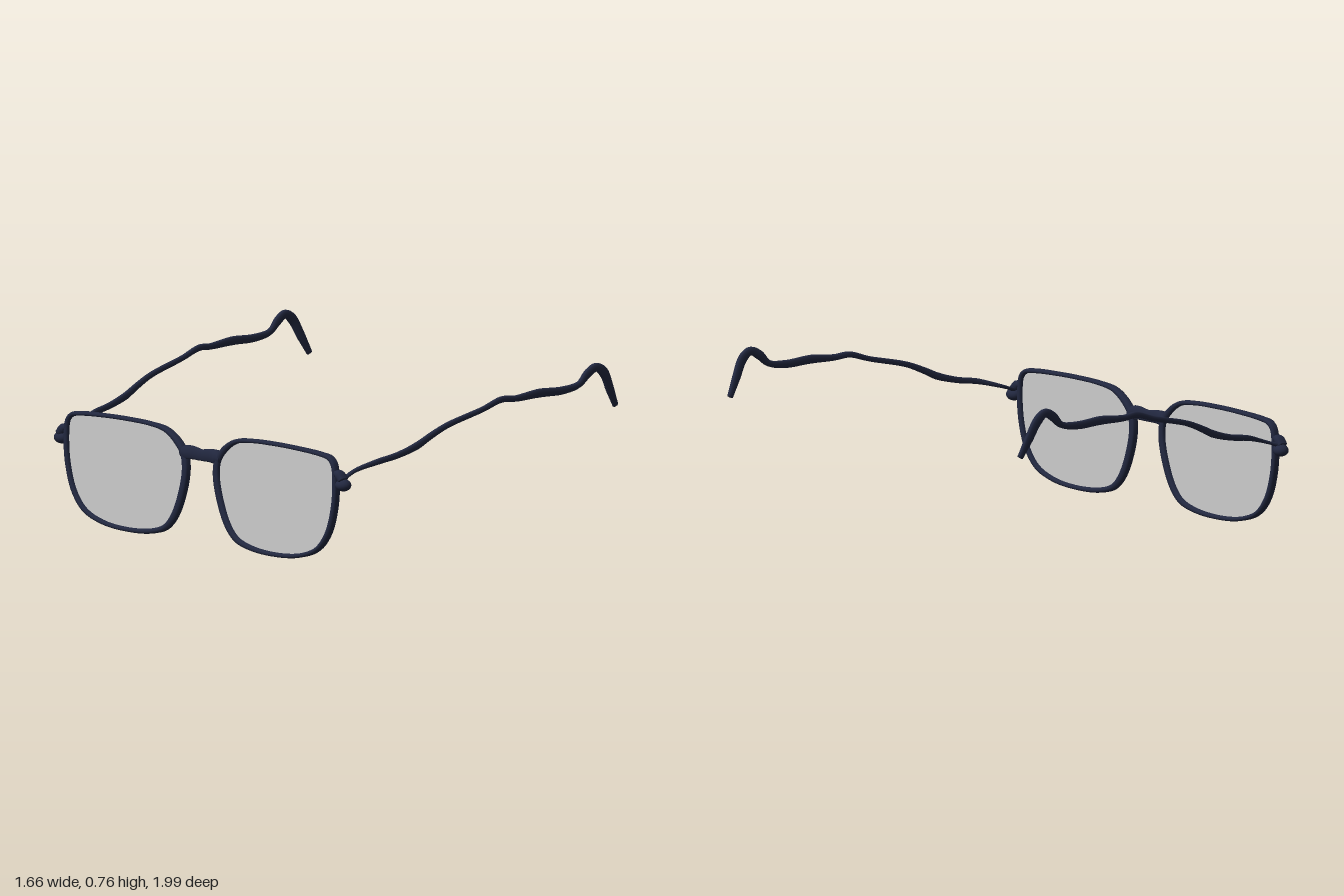
import * as THREE from 'three';

const frameMat = new THREE.MeshStandardMaterial({ color: 0x222840, side: THREE.DoubleSide });
const lensMat = new THREE.MeshStandardMaterial({ color: 0xcccccc, side: THREE.DoubleSide });
const PLANE = -0.8; // x of the lens plane

// Sweep a softly squared section along a curve.
// Each row: [x, y, z, half thickness, half depth along the side axis]
function sweep(rows, sideAxis, steps, closed = false, sides = 10) {
  const curve = new THREE.CatmullRomCurve3(rows.map(r => new THREE.Vector3(r[0], r[1], r[2])), closed, 'centripetal');
  const pos = [], idx = [];
  const rings = closed ? steps : steps + 1;
  const spans = closed ? rows.length : rows.length - 1;
  const size = (t, k) => {
    const f = t * spans, i = Math.min(Math.floor(f), spans - 1);
    return THREE.MathUtils.lerp(rows[i][k], rows[(i + 1) % rows.length][k], f - i);
  };
  for (let i = 0; i < rings; i++) {
    const t = i / steps, p = curve.getPoint(t), T = curve.getTangent(t);
    const S = sideAxis.clone().addScaledVector(T, -sideAxis.dot(T)).normalize();
    const N = S.clone().cross(T);
    for (let j = 0; j < sides; j++) {
      const a = (j + 0.5) / sides * Math.PI * 2;
      const soft = v => Math.sign(v) * Math.pow(Math.abs(v), 0.7);
      const q = p.clone().addScaledVector(N, soft(Math.cos(a)) * size(t, 3))
        .addScaledVector(S, soft(Math.sin(a)) * size(t, 4));
      pos.push(q.x, q.y, q.z);
    }
  }
  for (let i = 0; i < steps; i++) {
    for (let j = 0; j < sides; j++) {
      const a = i * sides + j, b = i * sides + (j + 1) % sides;
      const n = ((i + 1) % rings) * sides, c = n + j, d = n + (j + 1) % sides;
      idx.push(a, b, c, b, d, c);
    }
  }
  if (!closed) { // end caps
    const e = steps * sides;
    for (let j = 1; j < sides - 1; j++) idx.push(0, j + 1, j, e, e + j, e + j + 1);
  }
  const g = new THREE.BufferGeometry();
  g.setAttribute('position', new THREE.Float32BufferAttribute(pos, 3));
  g.setIndex(idx);
  g.computeVertexNormals();
  return g;
}

// Rim centre line: [z, y, half thickness]
const RIM = [
  [0.84, 0.465, 0.011], [0.815, 0.492, 0.011], [0.76, 0.503, 0.010], [0.6, 0.512, 0.009], [0.46, 0.514, 0.009],
  [0.32, 0.51, 0.009], [0.22, 0.495, 0.011], [0.15, 0.452, 0.015], [0.108, 0.40, 0.017], [0.098, 0.33, 0.017],
  [0.122, 0.22, 0.017], [0.17, 0.115, 0.016], [0.225, 0.058, 0.014], [0.31, 0.03, 0.012], [0.46, 0.018, 0.010],
  [0.62, 0.032, 0.010], [0.735, 0.075, 0.011], [0.80, 0.15, 0.012], [0.838, 0.26, 0.012], [0.85, 0.38, 0.012],
];

// Temple arm: [x, y, z, half height, half width]
const TEMPLE = [
  [-0.80, 0.40, 0.885, 0.012, 0.015], [-0.75, 0.415, 0.872, 0.007, 0.011], [-0.69, 0.434, 0.868, 0.009, 0.010],
  [-0.59, 0.462, 0.90, 0.013, 0.010], [-0.48, 0.48, 0.913, 0.014, 0.010], [-0.37, 0.51, 0.922, 0.017, 0.010],
  [-0.30, 0.542, 0.928, 0.015, 0.010], [-0.20, 0.582, 0.936, 0.013, 0.010], [0.01, 0.632, 0.95, 0.012, 0.010],
  [0.12, 0.664, 0.957, 0.014, 0.010], [0.20, 0.66, 0.965, 0.014, 0.010], [0.34, 0.668, 0.97, 0.020, 0.010],
  [0.48, 0.664, 0.974, 0.018, 0.010], [0.58, 0.68, 0.977, 0.014, 0.012], [0.63, 0.722, 0.98, 0.021, 0.012],
  [0.68, 0.746, 0.984, 0.019, 0.012], [0.725, 0.718, 0.985, 0.024, 0.012], [0.77, 0.64, 0.977, 0.022, 0.011],
  [0.815, 0.558, 0.968, 0.014, 0.010],
];

export function createModel() {
  const model = new THREE.Group();
  const add = (name, geo, mat = frameMat) => {
    const m = new THREE.Mesh(geo, mat);
    m.name = name;
    model.add(m);
    return m;
  };
  const X = new THREE.Vector3(1, 0, 0), Z = new THREE.Vector3(0, 0, 1);

  for (const [side, s] of [['left', -1], ['right', 1]]) {
    // Rim around the lens
    add(side + 'Rim', sweep(RIM.map(([z, y, h]) => [PLANE, y, s * z, h, 0.019]), X, 120, true));

    // Thin flat lens filling the rim
    const outline = new THREE.CatmullRomCurve3(
      RIM.map(([z, y]) => new THREE.Vector3(s * z, y, 0)), true, 'centripetal').getPoints(80);
    const lens = new THREE.ShapeGeometry(new THREE.Shape(outline.map(p => new THREE.Vector2(-p.x, p.y))));
    lens.rotateY(Math.PI / 2).translate(PLANE, 0, 0);
    add(side + 'Lens', lens, lensMat);

    // Hinge: bracket on the rim with a rounded outer knob
    add(side + 'HingeBracket', sweep([
      [PLANE, 0.43, s * 0.85, 0.014, 0.018], [PLANE, 0.425, s * 0.872, 0.02, 0.024],
      [PLANE, 0.40, s * 0.895, 0.018, 0.024],
    ], X, 12));
    const knob = add(side + 'HingeKnob', new THREE.SphereGeometry(1, 16, 12));
    knob.scale.set(0.034, 0.028, 0.038);
    knob.position.set(-0.795, 0.38, s * 0.89);

    // Temple arm with hooked ear tip
    add(side + 'Temple', sweep(TEMPLE.map(([x, y, z, h, w]) => [x, y, s * z, h, w]), Z, 110));
  }

  // Nose bridge: swollen at the rims, waisted beside a fuller middle
  add('bridge', sweep([
    [PLANE, 0.405, -0.125, 0.018, 0.018], [PLANE, 0.41, -0.095, 0.032, 0.022], [PLANE, 0.412, -0.055, 0.030, 0.016],
    [PLANE, 0.408, 0, 0.026, 0.012], [PLANE, 0.412, 0.055, 0.030, 0.016], [PLANE, 0.41, 0.095, 0.032, 0.022],
    [PLANE, 0.405, 0.125, 0.018, 0.018],
  ], X, 40));

  return model;
}
